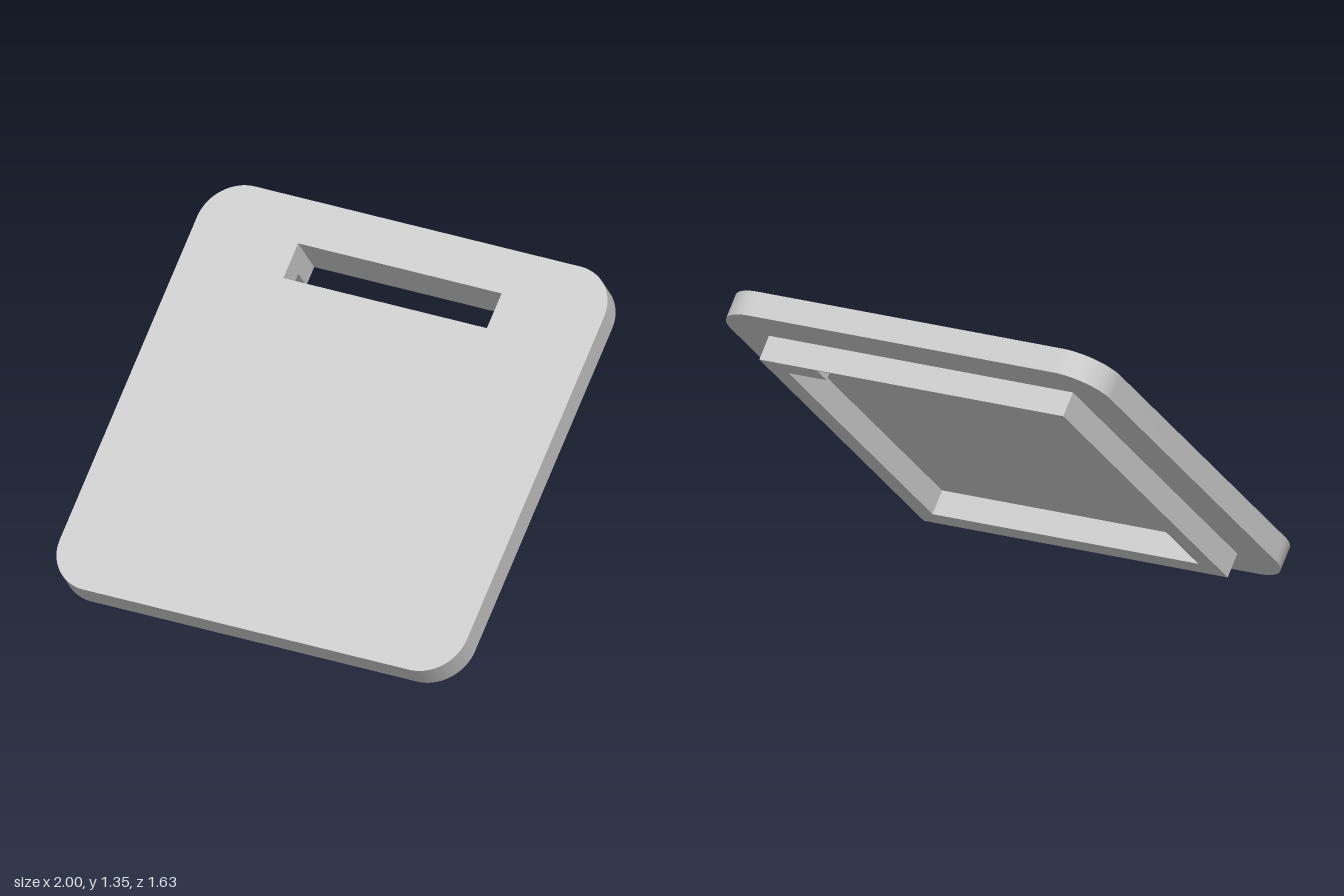
import * as THREE from 'three';
import { toCreasedNormals } from 'three/addons/utils/BufferGeometryUtils.js';

const THICKNESS = 0.116;
const SLOPE = THREE.MathUtils.degToRad(39);
const SLOT = { half: 0.5, low: 0.62, high: 0.792 };

// Polygon path through a list of [x, y] points
const path = (points, Type = THREE.Path) => new Type(points.map(([x, y]) => new THREE.Vector2(x, y)));
const square = (h) => [[-h, -h], [h, -h], [h, h], [-h, h]];

function roundedSquare(h, r) {
  const s = new THREE.Shape();
  const c = h - r;
  s.absarc(c, c, r, 0, Math.PI / 2);
  s.absarc(-c, c, r, Math.PI / 2, Math.PI);
  s.absarc(-c, -c, r, Math.PI, Math.PI * 1.5);
  s.absarc(c, -c, r, Math.PI * 1.5, Math.PI * 2);
  s.closePath();
  return s;
}

function slab(name, shape, material) {
  const geometry = new THREE.ExtrudeGeometry(shape, { depth: THICKNESS, bevelEnabled: false, curveSegments: 16 });
  const mesh = new THREE.Mesh(toCreasedNormals(geometry, 0.5), material);
  mesh.name = name;
  return mesh;
}

export function createModel() {
  const grey = new THREE.MeshStandardMaterial({ color: 0xcccccc });
  grey.name = 'light grey';

  // Rounded plate with the handle slot
  const plateShape = roundedSquare(1, 0.2);
  const { half, low, high } = SLOT;
  plateShape.holes.push(path([[-half, low], [half, low], [half, high], [-half, high]]));
  const plate = slab('plate', plateShape, grey);

  // Square rim underneath, notched where the slot passes through it
  const rimShape = path(square(0.8), THREE.Shape);
  rimShape.holes.push(path([
    [-0.7, -0.7], [0.7, -0.7], [0.7, 0.7], [half, 0.7],
    [half, high], [-half, high], [-half, 0.7], [-0.7, 0.7],
  ]));
  const rim = slab('undersideRim', rimShape, grey);
  rim.position.z = -THICKNESS;

  // Tilt the lid back and rest its front edge on the ground
  const lid = new THREE.Group();
  lid.name = 'lid';
  lid.add(plate, rim);
  lid.rotation.x = SLOPE - Math.PI / 2;
  lid.position.set(0, Math.sin(SLOPE), -THICKNESS / 2 * Math.sin(SLOPE));

  const model = new THREE.Group();
  model.name = 'slottedLid';
  model.add(lid);
  return model;
}
